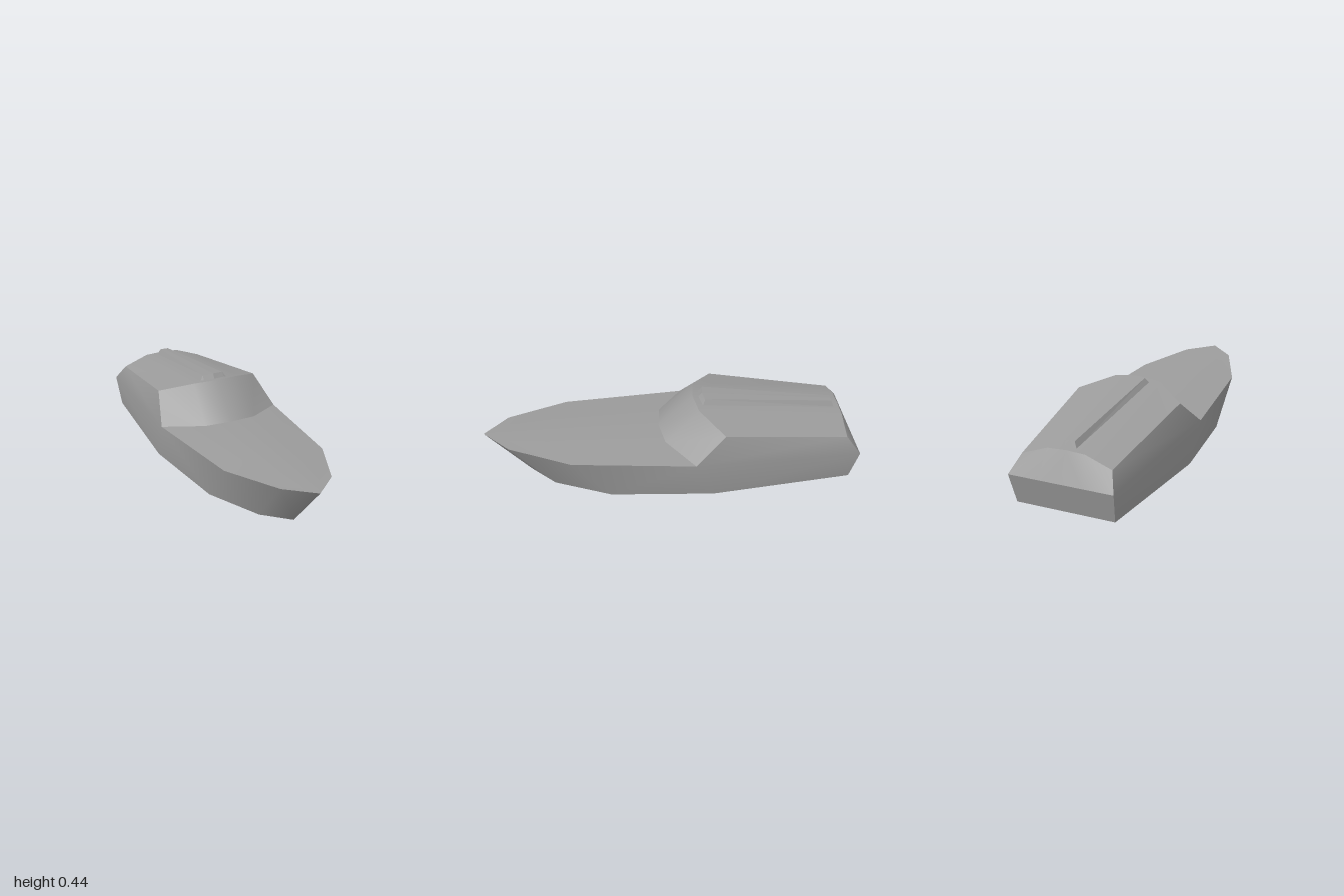
import * as THREE from 'three';
import { mergeVertices } from 'three/addons/utils/BufferGeometryUtils.js';

// Skin a grid of rows; each row lists points from the centreline outwards (+x) and is mirrored.
function sheet(name, rows, flat = false) {
  const full = rows.map(r => [...r.slice(1).reverse().map(([x, y, z]) => [-x, y, z]), ...r]);
  const n = full[0].length;
  const index = [];
  for (let r = 0; r < full.length - 1; r++) {
    for (let c = 0; c < n - 1; c++) {
      const a = r * n + c, b = a + 1, d = a + n, e = d + 1;
      // mirror the diagonals about the centreline
      if (c < (n - 1) / 2) index.push(a, b, d, b, e, d);
      else index.push(a, b, e, a, e, d);
    }
  }
  let geo = new THREE.BufferGeometry();
  geo.setAttribute('position', new THREE.Float32BufferAttribute(full.flat(2), 3));
  geo.setIndex(index);
  geo = mergeVertices(geo, 1e-5);
  // drop triangles collapsed at shared points
  const ids = geo.index.array, kept = [];
  for (let i = 0; i < ids.length; i += 3) {
    const [a, b, c] = [ids[i], ids[i + 1], ids[i + 2]];
    if (a !== b && b !== c && a !== c) kept.push(a, b, c);
  }
  geo.setIndex(kept);
  if (flat) geo = geo.toNonIndexed();
  geo.computeVertexNormals();
  const mesh = new THREE.Mesh(geo, new THREE.MeshStandardMaterial({ color: 0x9c9c9c, flatShading: flat }));
  mesh.name = name;
  return mesh;
}

export function createModel() {
  const boat = new THREE.Group();
  boat.name = 'boat';

  // Outlines from the bow tip round to the stern corner
  const keel = [[0, 0, 0.76], [0.13, 0, 0.64], [0.266, 0, 0.345], [0.325, 0, -0.2], [0.264, 0, -0.955]];
  const rail = [[0, 0.268, 1], [0.14, 0.261, 0.87], [0.28, 0.238, 0.55], [0.343, 0.213, -0.1], [0.28, 0.16, -1]];
  const roofFront = [[0, 0.417, -0.125], [0.128, 0.412, -0.142], [0.292, 0.355, -0.26]];
  const roofRear = [[0, 0.307, -0.93], [0.1, 0.302, -0.93], [0.24, 0.25, -0.93]];
  const glassBase = [[0, 0.243, 0.06], [0.147, 0.237, 0.04], rail[3]];
  const sternRail = [[0, 0.16, -1], [0.12, 0.16, -1], rail[4]];
  const sternKeel = [[0, 0, -0.955], [0.12, 0, -0.955], keel[4]];

  // Hull sides, running up into the cabin sides; the widest station is
  // doubled so the cabin side can fan up from it to the roof
  const doubled = pts => [...pts.slice(0, 4), ...pts.slice(3)];
  const upper = [...rail.slice(0, 4), roofFront[2], roofRear[2]];
  boat.add(sheet('hullSides', [doubled(keel), doubled(rail), upper]));

  // Foredeck
  boat.add(sheet('foredeck', [
    [rail[0], rail[0], rail[0]],
    [[0, 0.264, 0.87], [0.07, 0.263, 0.87], rail[1]],
    [[0, 0.256, 0.55], [0.14, 0.251, 0.55], rail[2]],
    glassBase,
  ]));

  // Cabin and stern
  boat.add(sheet('windscreen', [glassBase, roofFront]));
  boat.add(sheet('cabinRoof', [roofFront, roofRear]));
  boat.add(sheet('rearSlope', [roofRear, sternRail]));
  boat.add(sheet('transom', [sternRail, sternKeel]));

  // Flat bottom, stern to bow
  boat.add(sheet('hullBottom', keel.slice().reverse().map(p => [[0, 0, p[2]], p])));

  // Tapered ridge along the roof, with a slightly bowed front
  const footFront = [[0, 0.413, -0.157], [0.06, 0.411, -0.166], [0.078, 0.408, -0.17]];
  const footRear = [[0, 0.309, -0.9], [0.026, 0.309, -0.9], [0.04, 0.308, -0.9]];
  boat.add(sheet('roofRidge', [
    footFront,
    [[0, 0.437, -0.175], [0.059, 0.434, -0.184], footFront[2]],
    [[0, 0.341, -0.888], [0.025, 0.34, -0.888], footRear[2]],
    footRear,
  ], true));

  return boat;
}
